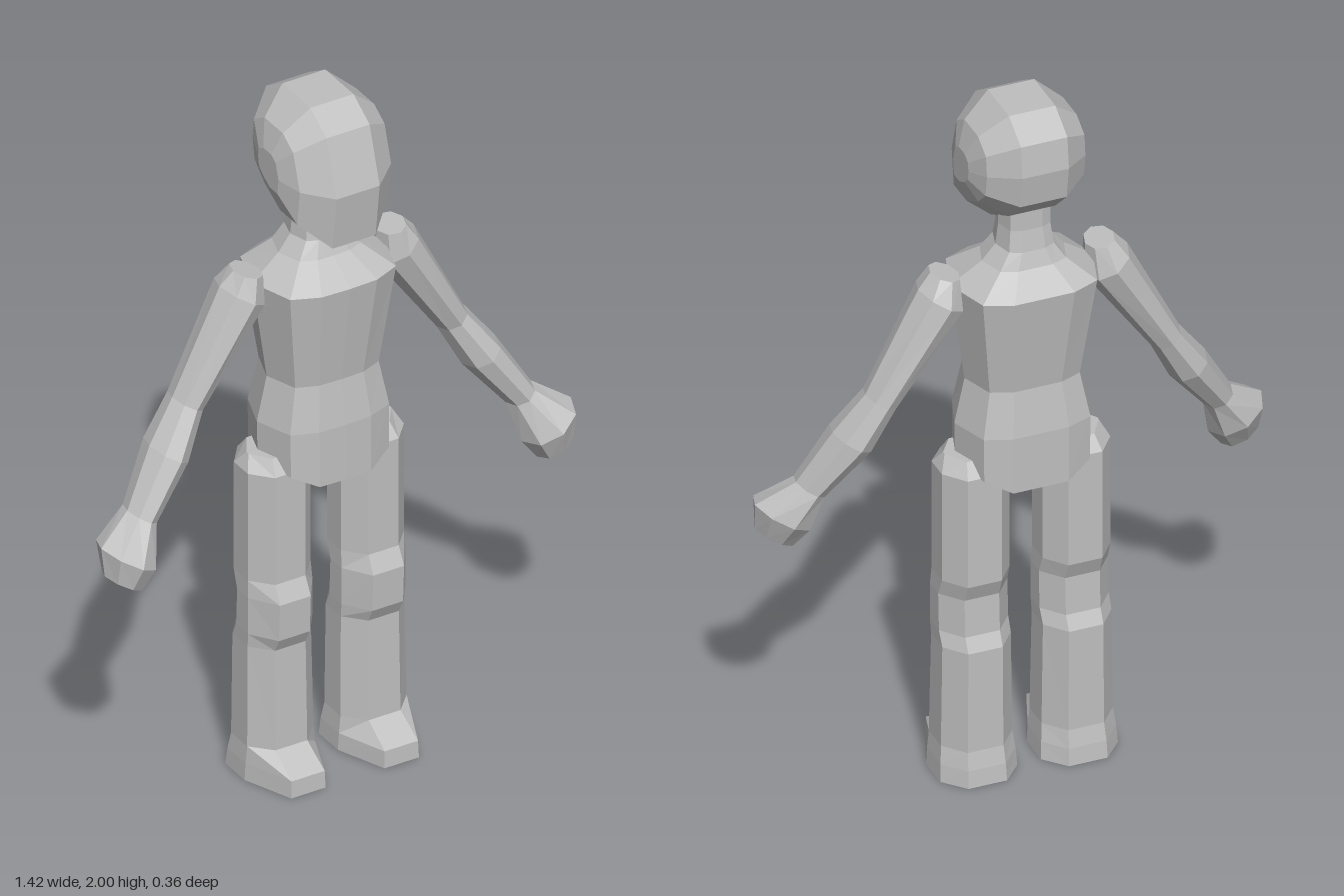
import * as THREE from 'three';

const skin = new THREE.MeshStandardMaterial({ color: 0xbfbfbf });

// Closed faceted solid through a list of rings with equal point counts
function loft(name, rings) {
  const tris = [];
  const n = rings[0].length;
  const centre = (ring) => ring.reduce((s, p) => s.add(p), new THREE.Vector3()).divideScalar(n);
  const first = rings[0], last = rings[rings.length - 1];
  const c0 = centre(first), c1 = centre(last);
  for (let j = 0; j < n; j++) {
    const k = (j + 1) % n;
    for (let i = 0; i < rings.length - 1; i++) {
      const a = rings[i][j], b = rings[i][k], c = rings[i + 1][k], d = rings[i + 1][j];
      tris.push([a, b, c], [a, c, d]);
    }
    tris.push([c0, first[k], first[j]], [c1, last[j], last[k]]);
  }
  // Turn the faces outward whichever way the rings run
  const volume = tris.reduce((s, [a, b, c]) => s + a.dot(b.clone().cross(c)), 0);
  const points = tris.flatMap(([a, b, c]) => (volume < 0 ? [a, c, b] : [a, b, c]));
  const geometry = new THREE.BufferGeometry().setFromPoints(points);
  geometry.computeVertexNormals();
  const mesh = new THREE.Mesh(geometry, skin);
  mesh.name = name;
  return mesh;
}

const v = (x, y, z) => new THREE.Vector3(x, y, z);

// Torso and neck: [y, half width, front z, back z, rise of the outer edge]
function torso() {
  const outline = [[0, 1], [0.42, 0.98], [0.8, 0.78], [1, 0], [0.8, -0.8], [0.42, -1], [0, -1],
    [-0.42, -1], [-0.8, -0.8], [-1, 0], [-0.8, 0.78], [-0.42, 0.98]];
  const levels = [
    [0.885, 0.185, 0.12, -0.15, 0.055],
    [1.05, 0.187, 0.118, -0.15, 0],
    [1.18, 0.158, 0.1, -0.13, 0],
    [1.475, 0.2, 0.14, -0.175, 0],
    [1.535, 0.115, 0.06, -0.115, 0],
    [1.58, 0.078, 0.04, -0.1, 0],
    [1.64, 0.07, 0.03, -0.09, 0],
    [1.73, 0.07, 0.03, -0.09, 0],
  ];
  return loft('torso', levels.map(([y, w, f, b, rise]) => outline.map(([px, pz]) =>
    v(px * w, y + rise * Math.max(0, (Math.abs(px) - 0.42) / 0.58),
      (f + b) / 2 + pz * (f - b) / 2))));
}

// Head: one side profile, shrunk towards the ears
function head() {
  const profile = [[0.05, 2], [-0.09, 2], [-0.17, 1.95], [-0.18, 1.86], [-0.165, 1.765],
    [-0.09, 1.695], [0.03, 1.63], [0.16, 1.63], [0.18, 1.79], [0.13, 1.95]];
  const slices = [[-0.162, 0.28], [-0.138, 0.65], [-0.065, 1], [0, 1],
    [0.065, 1], [0.138, 0.65], [0.162, 0.28]];
  return loft('head', slices.map(([x, s]) =>
    profile.map(([z, y]) => v(x, 1.82 + (y - 1.82) * s, z * s))));
}

// Arm: [x, y, z, half width across, half depth], rings square to the limb
function arm(side) {
  const levels = [
    [0.217, 1.52, -0.02, 0.045, 0.055],
    [0.233, 1.455, -0.027, 0.069, 0.08],
    [0.4, 1.18, -0.022, 0.045, 0.06],
    [0.472, 1.065, 0, 0.057, 0.077],
    [0.572, 0.922, 0.035, 0.043, 0.058],
    [0.635, 0.835, 0.07, 0.086, 0.088],
    [0.653, 0.768, 0.08, 0.06, 0.055],
  ];
  return loft(side > 0 ? 'leftArm' : 'rightArm', levels.map(([x, y, z, w, d], i) =>
    Array.from({ length: 8 }, (_, k) => {
      const a = k * Math.PI / 4;
      const tilt = i === 0 ? 0.2 : 0.5;
      const across = Math.cos(a) * w;
      return v(side * (x + across * 0.87), y + across * tilt, z + Math.sin(a) * d);
    })));
}

// Leg and foot: [y, half width, front z, back z]
function leg(side) {
  const levels = [
    [0, 0.108, 0.165, -0.13],
    [0.05, 0.105, 0.163, -0.125],
    [0.1, 0.1, 0.08, -0.115],
    [0.4, 0.096, 0.075, -0.115],
    [0.44, 0.097, 0.095, -0.095],
    [0.55, 0.097, 0.1, -0.09],
    [0.6, 0.095, 0.075, -0.11],
    [0.925, 0.095, 0.075, -0.11],
    [0.965, 0.075, 0.045, -0.08],
  ];
  return loft(side > 0 ? 'leftLeg' : 'rightLeg', levels.map(([y, w, f, b]) => {
    const front = Math.min(f - 0.055, 0.025), back = b + 0.06;
    return [[0.48, f], [1, front], [1, back], [0.5, b],
      [-0.5, b], [-1, back], [-1, front], [-0.48, f]]
      .map(([px, z]) => v(side * (0.141 + px * w), y, z));
  }));
}

export function createModel() {
  const group = new THREE.Group();
  group.name = 'figure';
  group.add(torso(), head());
  for (const side of [1, -1]) group.add(arm(side), leg(side));
  return group;
}
